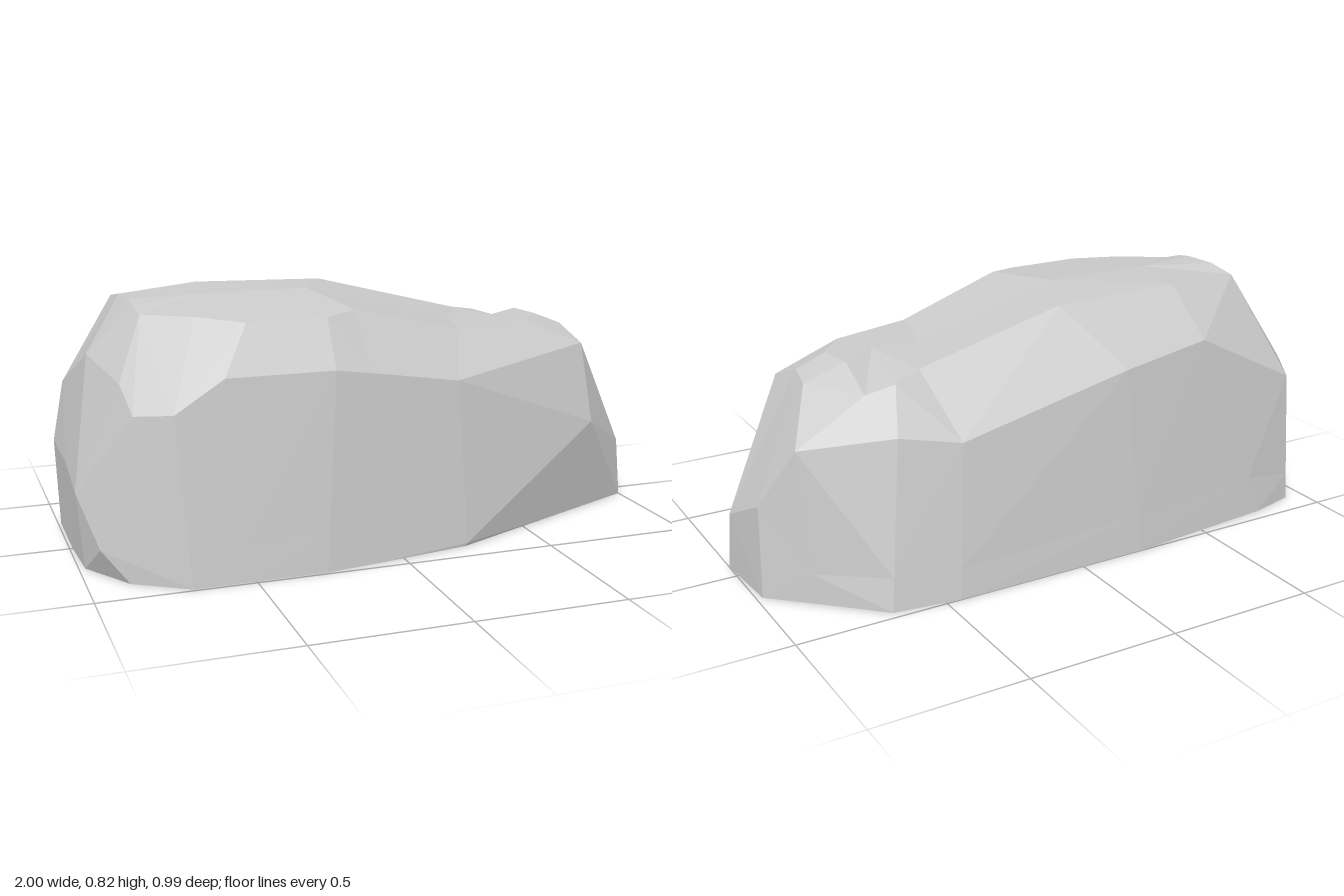
import * as THREE from 'three';

const V = (x, y, z) => new THREE.Vector3(x, y, z);

// Rings run anticlockwise seen from above, starting at the front right corner.
// Footprint on the ground: x, z
const foot = [
  [-0.87, 0.38], [-0.7, 0.49], [-0.5, 0.49], [-0.27, 0.49], [-0.1, 0.465], [0.23, 0.41],
  [0.65, 0.225], [1, 0.07], [0.98, -0.18], [0.85, -0.3], [0.67, -0.47], [0.45, -0.5],
  [-0.23, -0.5], [-0.77, -0.45], [-0.93, -0.41], [-0.99, -0.27], [-0.99, 0], [-0.98, 0.2],
].map(([x, z]) => V(x, 0, z));

// Shoulder, where the sides turn inward
const shoulder = [
  [-0.84, 0.52, 0.36], [-0.73, 0.53, 0.43], [-0.57, 0.63, 0.425], [-0.22, 0.63, 0.43],
  [-0.1, 0.61, 0.415], [0.22, 0.55, 0.36], [0.77, 0.6, 0.16], [0.75, 0.65, 0.03],
  [0.77, 0.64, -0.08], [0.87, 0.49, -0.24], [0.6, 0.53, -0.39], [0.4, 0.49, -0.43],
  [-0.2, 0.62, -0.43], [-0.53, 0.66, -0.4], [-0.92, 0.46, -0.38], [-0.96, 0.5, -0.28],
  [-0.92, 0.65, 0.02], [-0.86, 0.6, 0.26],
].map((p) => V(...p));

// Rim of the top
const rim = [
  [-0.77, 0.79, 0.15], [-0.62, 0.79, 0.25], [-0.48, 0.78, 0.34], [-0.22, 0.78, 0.34],
  [-0.11, 0.79, 0.29], [0.28, 0.69, 0.22], [0.56, 0.69, 0.14], [0.65, 0.69, 0.03],
  [0.63, 0.69, -0.09], [0.64, 0.63, -0.25], [0.55, 0.66, -0.28], [0.45, 0.68, -0.24],
  [-0.06, 0.81, -0.24], [-0.5, 0.82, -0.25], [-0.8, 0.8, -0.19], [-0.79, 0.82, -0.09],
  [-0.78, 0.82, 0.03], [-0.78, 0.81, 0.09],
].map((p) => V(...p));

// Waist: part way up the sides, with corners pushed out at the two ends
const bulges = {
  0: [-0.95, 0.1, 0.33], 5: [0.24, 0.01, 0.41], 6: [0.79, 0.33, 0.22], 7: [0.995, 0.2, 0.045],
  8: [0.97, 0.3, -0.16], 15: [-1, 0.3, -0.27], 16: [-1, 0.3, 0], 17: [-1, 0.25, 0.2],
};
const waist = foot.map((p, i) => (bulges[i] ? V(...bulges[i]) : p.clone().lerp(shoulder[i], 0.2)));

// Crest along the middle of the top; several rim points share each crest point
const crest = [V(-0.55, 0.82, 0), V(-0.18, 0.82, 0), V(0.33, 0.69, 0), V(0.5, 0.69, 0)];
const top = [0, 0, 0, 1, 1, 2, 3, 3, 3, 3, 3, 2, 1, 0, 0, 0, 0, 0].map((i) => crest[i]);

function createRockGeometry() {
  const points = [];
  const tri = (a, b, c) => {
    const area = b.clone().sub(a).cross(c.clone().sub(a)).length();
    if (area > 1e-6) points.push(a, b, c);
  };
  // Split each four-sided patch along the diagonal that keeps it convex
  const quad = (a, b, c, d) => {
    const normal = b.clone().sub(a).cross(c.clone().sub(a));
    if (normal.dot(d.clone().sub(a)) <= 0) {
      tri(a, b, c);
      tri(a, c, d);
    } else {
      tri(a, b, d);
      tri(b, c, d);
    }
  };
  const rings = [foot, waist, shoulder, rim, top];
  const centre = V(0, 0, 0);
  foot.forEach((p, i) => {
    const j = (i + 1) % foot.length;
    for (let r = 0; r < rings.length - 1; r++) {
      quad(rings[r][i], rings[r][j], rings[r + 1][j], rings[r + 1][i]);
    }
    tri(centre, foot[j], p); // flat underside
  });
  const geometry = new THREE.BufferGeometry().setFromPoints(points);
  geometry.computeVertexNormals();
  return geometry;
}

export function createModel() {
  const group = new THREE.Group();
  group.name = 'boulder';
  const material = new THREE.MeshStandardMaterial({ color: 0xcccccc, flatShading: true });
  const rock = new THREE.Mesh(createRockGeometry(), material);
  rock.name = 'rock';
  group.add(rock);
  return group;
}
